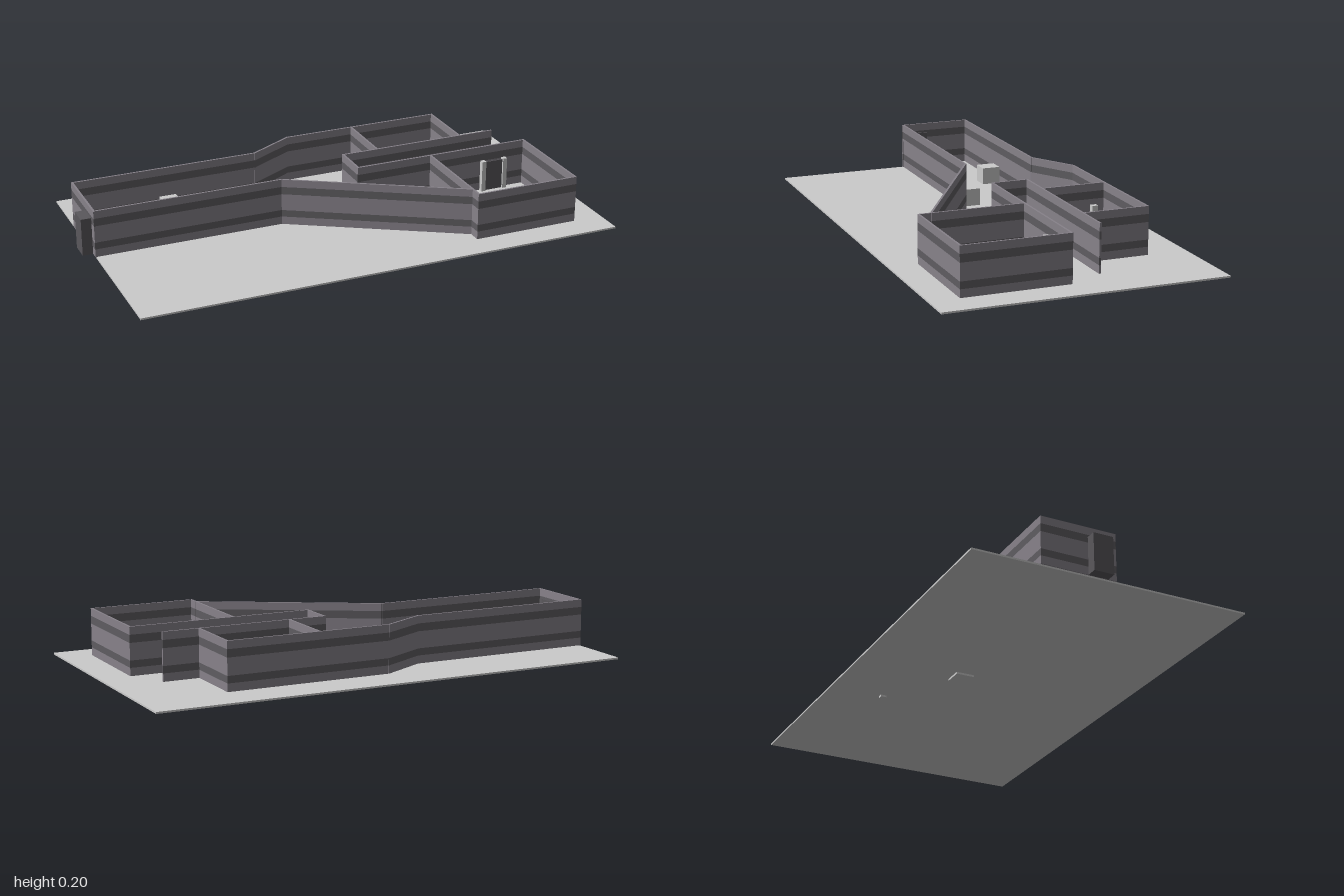
import * as THREE from 'three';

const material = (color) => new THREE.MeshStandardMaterial({ color });
const grey = material(0xcccccc);
const wallGrey = material(0x87828a);
const stripeGrey = material(0x5f5d61);
const doorGrey = material(0x5a585c);

const FLOOR_TOP = 0.015;
const THICK = 0.008;

// Horizontal bands of every wall: bottom, top, material
const BANDS = [
  [FLOOR_TOP, 0.047, wallGrey],
  [0.047, 0.075, stripeGrey],
  [0.075, 0.143, wallGrey],
  [0.143, 0.174, stripeGrey],
  [0.174, 0.205, wallGrey],
];

// Box given by its ranges along x, y and z
function block(name, [x0, x1], [y0, y1], [z0, z1], mat = grey) {
  const mesh = new THREE.Mesh(new THREE.BoxGeometry(x1 - x0, y1 - y0, z1 - z0), mat);
  mesh.position.set((x0 + x1) / 2, (y0 + y1) / 2, (z0 + z1) / 2);
  mesh.name = name;
  return mesh;
}

// Straight striped wall between two floor points
function wall([xa, za], [xb, zb]) {
  const half = Math.hypot(xb - xa, zb - za) / 2 + THICK / 2;
  const group = new THREE.Group();
  group.name = 'wall';
  for (const [y0, y1, mat] of BANDS) {
    const name = mat === stripeGrey ? 'wallStripe' : 'wallBand';
    group.add(block(name, [-half, half], [y0, y1], [-THICK / 2, THICK / 2], mat));
  }
  group.position.set((xa + xb) / 2, 0, (za + zb) / 2);
  group.rotation.y = -Math.atan2(zb - za, xb - xa);
  return group;
}

// Chain of walls through a list of floor points
function wallRun(name, points) {
  const group = new THREE.Group();
  group.name = name;
  for (let i = 1; i < points.length; i++) group.add(wall(points[i - 1], points[i]));
  return group;
}

export function createModel() {
  const model = new THREE.Group();
  model.name = 'floorPlan';

  model.add(block('floor', [-0.955, 1], [0.008, FLOOR_TOP], [-0.555, 0.555]));

  // Hall, back room, corridor and front room
  model.add(
    wallRun('backWalls', [[-0.955, 0.01], [-0.955, -0.285], [-0.195, -0.285], [-0.01, -0.39], [0.655, -0.39], [0.655, -0.128]]),
    wallRun('frontHallWalls', [[-0.955, 0.007], [-0.195, 0.007], [0.45, 0.39]]),
    wallRun('backRoomDivider', [[0.28, -0.39], [0.28, -0.128]]),
    wallRun('corridorWalls', [[0.8, -0.128], [0.13, -0.128], [0.13, 0.018], [0.45, 0.018]]),
    wallRun('frontRoomWalls', [[0.45, 0.018], [0.45, 0.438], [0.875, 0.438], [0.875, 0.018], [0.45, 0.018]]),
  );

  // Entrance door at the end of the hall
  model.add(block('entranceDoor', [-1, -0.945], [FLOOR_TOP, 0.165], [-0.1, -0.02], doorGrey));

  // Crates along the hall; the last is sunk through the floor
  model.add(
    block('crate', [-0.605, -0.535], [FLOOR_TOP, 0.085], [-0.285, -0.205]),
    block('crate', [-0.3, -0.23], [FLOOR_TOP, 0.085], [-0.07, 0.004]),
    block('crate', [-0.033, 0.042], [0, 0.075], [-0.168, -0.094]),
  );

  // Post in the back room
  model.add(block('post', [0.3, 0.321], [0, 0.125], [-0.346, -0.322]));

  // Frame against the front room's back wall
  const frame = new THREE.Group();
  frame.name = 'doorFrame';
  for (const x of [0.676, 0.772]) frame.add(block('framePost', [x, x + 0.018], [FLOOR_TOP, 0.145], [0.022, 0.042]));
  frame.add(block('framePanel', [0.694, 0.772], [FLOOR_TOP, 0.14], [0.03, 0.034], doorGrey));
  model.add(frame);

  return model;
}
